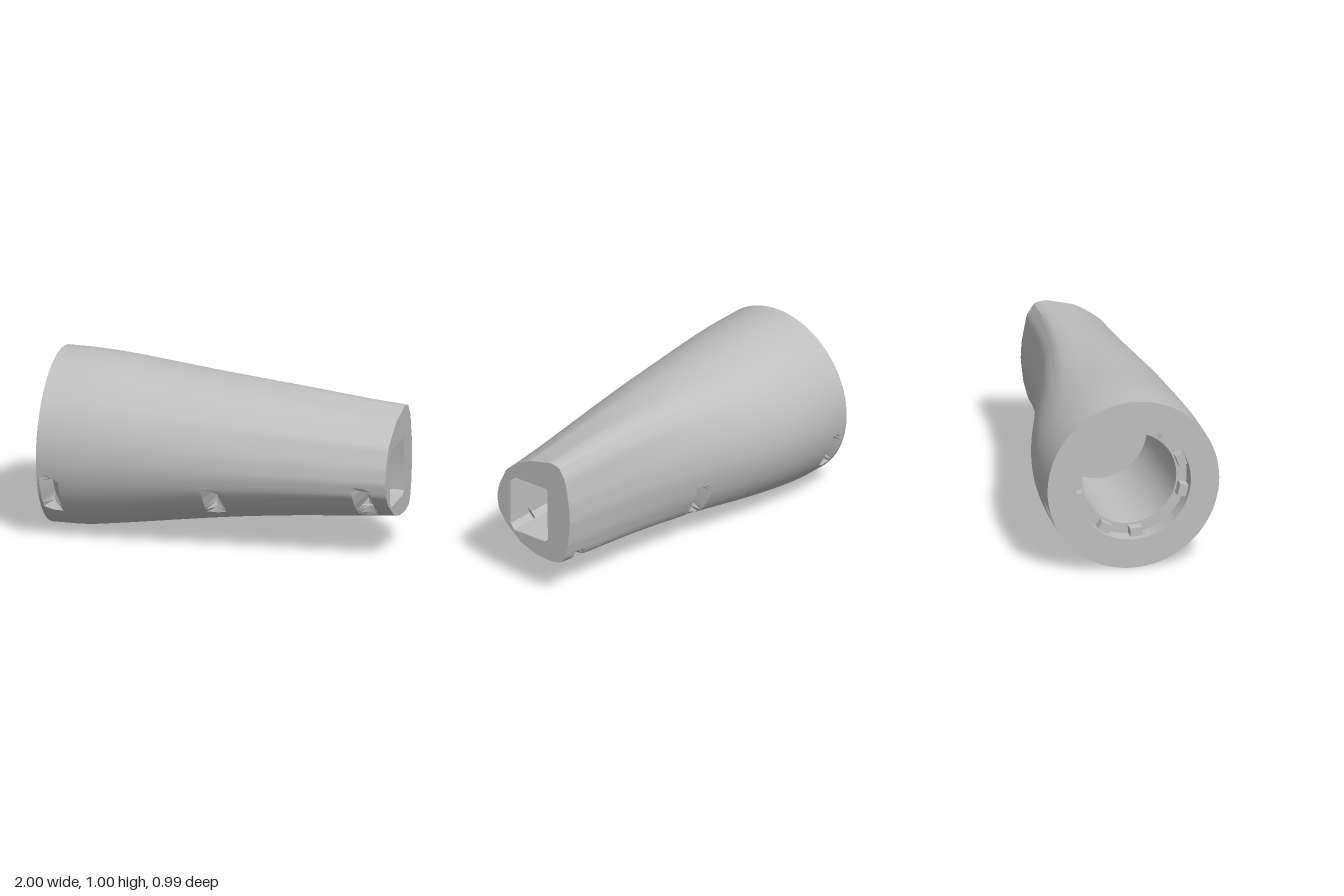
import * as THREE from 'three';
import { toCreasedNormals } from 'three/addons/utils/BufferGeometryUtils.js';

const N = 96;

// Skin through closed loops of [x, y, z] points
function loft(loops, flip = false, crease = 0.5) {
  const n = loops[0].length, pos = loops.flat(2), idx = [];
  for (let i = 0; i < loops.length - 1; i++) {
    for (let j = 0; j < n; j++) {
      const k = (j + 1) % n;
      const a = i * n + j, b = a + n, c = i * n + k, d = c + n;
      if (flip) idx.push(a, c, b, b, c, d);
      else idx.push(a, b, c, b, d, c);
    }
  }
  const g = new THREE.BufferGeometry();
  g.setAttribute('position', new THREE.Float32BufferAttribute(pos, 3));
  g.setIndex(idx);
  return toCreasedNormals(g, crease);
}

// Extents of the body at stations along x
const xs = [-1, -0.8, -0.6, -0.4, 0, 0.4, 0.8, 1];
const spline = (values) => {
  const f = new THREE.CubicInterpolant(xs, values, 1, new Float32Array(1));
  return (x) => f.evaluate(x)[0];
};
const top = spline([0.995, 0.993, 0.98, 0.962, 0.93, 0.895, 0.855, 0.84]);
const bottom = spline([0.0, 0.004, 0.03, 0.06, 0.12, 0.165, 0.2, 0.22]);
const front = spline([0.493, 0.493, 0.488, 0.48, 0.455, 0.418, 0.385, 0.37]);
const back = spline([-0.495, -0.495, -0.482, -0.445, -0.33, -0.23, -0.175, -0.165]);

// Small-end outline: angle in degrees, then unit z and y
const endOutline = [
  [-6, 1, -0.1], [10, 0.94, 0.16], [35, 0.74, 0.52], [62, 0.4, 0.74], [81, 0.14, 0.87],
  [115, -0.46, 1], [126, -0.7, 0.97], [140, -0.87, 0.74], [167, -0.98, 0.23], [186, -1, -0.1],
  [210, -0.94, -0.55], [225, -0.85, -0.84], [231, -0.76, -0.95], [245, -0.46, -1],
  [267, -0.05, -0.97], [293, 0.36, -0.84], [322, 0.74, -0.58], [340, 0.94, -0.35], [354, 1, -0.1],
];
function endPoint(deg) {
  const d = deg > 354 ? deg - 360 : deg;
  const i = Math.max(1, endOutline.findIndex((p) => p[0] >= d));
  const [a0, u0, v0] = endOutline[i - 1], [a1, u1, v1] = endOutline[i];
  const t = (d - a0) / (a1 - a0);
  return [u0 + (u1 - u0) * t, v0 + (v1 - v0) * t];
}

// Round at the large end, flattened on the back at the small end
function section(x) {
  const s = THREE.MathUtils.smoothstep(x, -0.8, 1);
  const cy = (top(x) + bottom(x)) / 2, hy = (top(x) - bottom(x)) / 2;
  const cz = (front(x) + back(x)) / 2, hz = (front(x) - back(x)) / 2;
  return Array.from({ length: N }, (_, j) => {
    const a = (j / N) * Math.PI * 2;
    const [u, v] = endPoint((j / N) * 360);
    return [x, cy + hy * THREE.MathUtils.lerp(Math.sin(a), v, s),
      cz + hz * THREE.MathUtils.lerp(Math.cos(a), u, s)];
  });
}

// V-shaped slots: centre x, side, lower and upper y
const slots = [
  [-0.93, 1, 0.17, 0.39], [0, 1, 0.22, 0.38], [0.86, 1, 0.26, 0.45],
  [-0.93, -1, 0.17, 0.39], [0, -1, 0.17, 0.385], [0.86, -1, 0.19, 0.28],
];
const halfSlot = 0.055, slotDepth = 0.08;

function bodyLoops() {
  const centres = [-0.93, 0, 0.86];
  const stations = [];
  for (let i = 0; i <= 40; i++) {
    const x = -1 + i / 20;
    if (centres.every((c) => Math.abs(x - c) > halfSlot + 0.005)) stations.push(x);
  }
  for (const c of centres) stations.push(c - halfSlot, c, c + halfSlot);
  stations.sort((a, b) => a - b);
  return stations.map((x) => {
    const cy = (top(x) + bottom(x)) / 2, cz = (front(x) + back(x)) / 2;
    return section(x).map(([px, y, z]) => {
      for (const [c, side, y0, y1] of slots) {
        if (x !== c || (z - cz) * side < 0.1) continue;
        const f = Math.min(1, (y - y0) / 0.04, (y1 - y) / 0.04);
        if (f <= 0) continue;
        const len = Math.hypot(y - cy, z - cz), k = 1 - (slotDepth * f) / len;
        return [px, cy + (y - cy) * k, cz + (z - cz) * k];
      }
      return [px, y, z];
    });
  });
}

const circle = (x, r) => Array.from({ length: 48 }, (_, j) => {
  const a = (j / 48) * Math.PI * 2;
  return [x, 0.5 + r * Math.sin(a), r * Math.cos(a)];
});

// Chamfered rectangular opening, counter-clockwise in z and y
const rect = [
  [0.27, 0.36], [0.27, 0.635], [0.245, 0.66], [0.005, 0.665],
  [0, 0.645], [-0.003, 0.35], [0.02, 0.33], [0.245, 0.327],
];
const rectLoop = (x, s = 1) => rect.map(([z, y]) => [x, 0.5 + (y - 0.5) * s, 0.134 + (z - 0.134) * s]);

// Flat end face with an opening; dir is the x side it faces
function endFace(outer, hole, dir) {
  const to2 = (p) => new THREE.Vector2(-dir * p[2], p[1]);
  const shape = new THREE.Shape(outer.map(to2));
  shape.holes.push(new THREE.Path(hole.map(to2)));
  return new THREE.ShapeGeometry(shape).rotateY((dir * Math.PI) / 2).translate(dir, 0, 0);
}

export function createModel() {
  const group = new THREE.Group();
  const grey = new THREE.MeshStandardMaterial({ color: 0xbfbfbf });
  grey.name = 'plainGrey';
  const add = (name, geometry) => {
    const mesh = new THREE.Mesh(geometry, grey);
    mesh.name = name;
    group.add(mesh);
    return mesh;
  };

  add('outerShell', loft(bodyLoops()));
  add('largeEndFace', endFace(section(-1), circle(-1, 0.33), -1));
  add('smallEndFace', endFace(section(1), rectLoop(1), 1));

  // Stepped round socket in the large end
  add('roundSocket', loft([
    circle(-1, 0.33), circle(-0.9, 0.33), circle(-0.9, 0.27),
    circle(-0.2, 0.27), circle(-0.2, 0.001),
  ], true));

  // Blind rectangular pocket in the small end
  add('squarePocket', loft([rectLoop(1), rectLoop(0.5), rectLoop(0.5, 0.001)]));

  // Locking lugs on the socket ledge
  for (const deg of [-165, -120, -85, -50, -15, 20, 50]) {
    const a = THREE.MathUtils.degToRad(deg);
    const lug = add('socketLug', new THREE.BoxGeometry(0.06, 0.07, 0.05));
    lug.position.set(-0.93, 0.5 + 0.305 * Math.sin(a), 0.305 * Math.cos(a));
    lug.rotation.x = -a;
  }
  return group;
}
